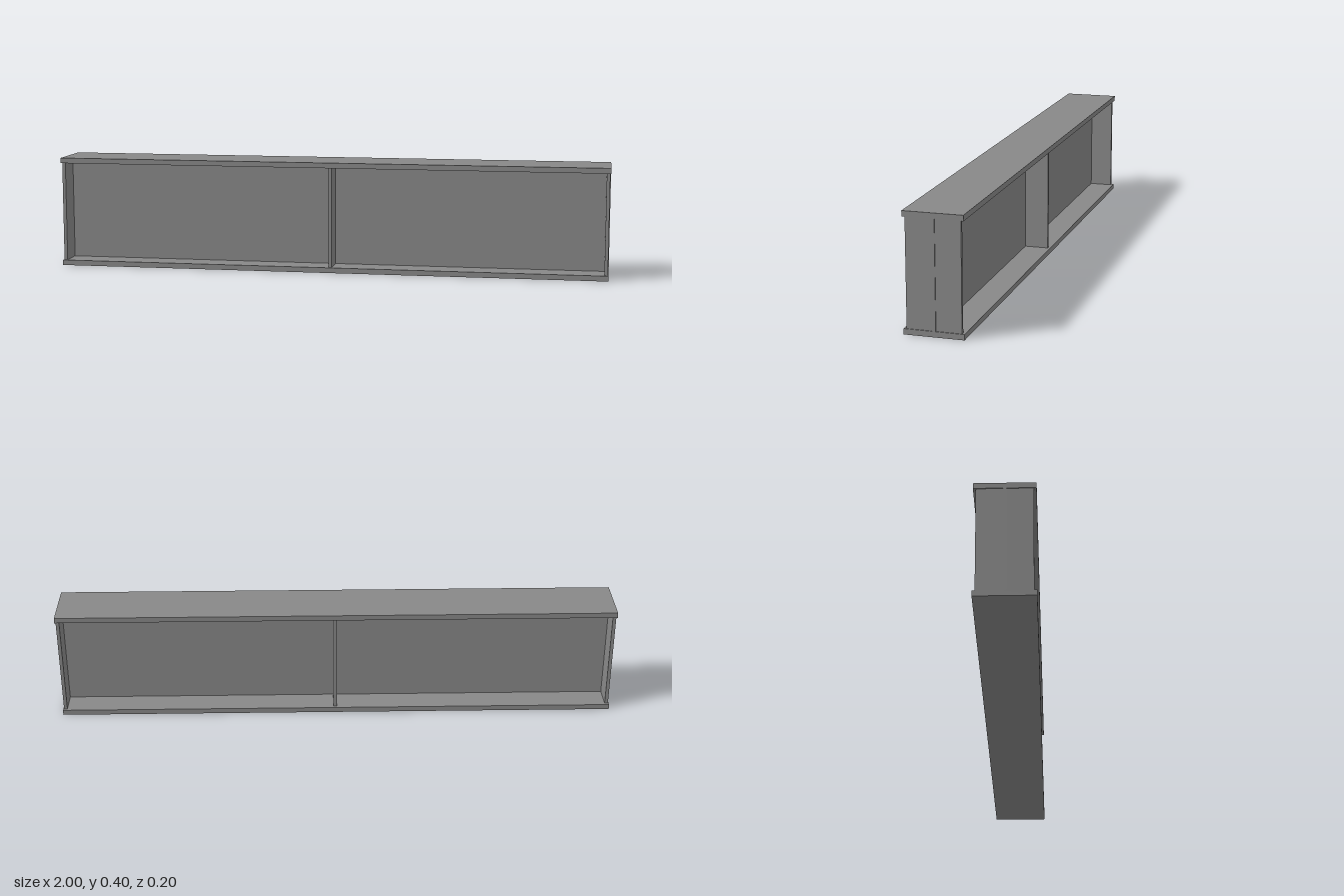
import * as THREE from 'three';

const LENGTH = 2, HEIGHT = 0.4;
const HALF_FLANGE = 0.1, FLANGE_T = 0.019; // flange half width and thickness
const HALF_WEB = 0.006;                    // web half thickness
const PLATE_REACH = 0.091, PLATE_T = 0.012; // stiffener outer edge and thickness

export function createModel() {
  const steel = new THREE.MeshStandardMaterial({ color: 0x888888 });
  steel.name = 'steel grey';
  const group = new THREE.Group();
  group.name = 'stiffenedGirder';

  // I-section, extruded along the length
  const top = HEIGHT - FLANGE_T;
  const section = new THREE.Shape([
    [-HALF_FLANGE, 0], [HALF_FLANGE, 0], [HALF_FLANGE, FLANGE_T],
    [HALF_WEB, FLANGE_T], [HALF_WEB, top], [HALF_FLANGE, top],
    [HALF_FLANGE, HEIGHT], [-HALF_FLANGE, HEIGHT], [-HALF_FLANGE, top],
    [-HALF_WEB, top], [-HALF_WEB, FLANGE_T], [-HALF_FLANGE, FLANGE_T],
  ].map(([x, y]) => new THREE.Vector2(x, y)));
  const beamGeometry = new THREE.ExtrudeGeometry(section, { depth: LENGTH, bevelEnabled: false });
  beamGeometry.translate(0, 0, -LENGTH / 2).rotateY(Math.PI / 2);
  const beam = new THREE.Mesh(beamGeometry, steel);
  beam.name = 'iBeam';
  group.add(beam);

  // Stiffener plates on both sides of the web: two ends and the middle
  const depth = PLATE_REACH - HALF_WEB;
  const plateGeometry = new THREE.BoxGeometry(PLATE_T, HEIGHT - 2 * FLANGE_T, depth);
  const stations = { rightEnd: -0.991, middle: 0.006, leftEnd: 0.991 };
  for (const [station, x] of Object.entries(stations)) {
    for (const side of [1, -1]) {
      const plate = new THREE.Mesh(plateGeometry, steel);
      plate.name = `${station}${side > 0 ? 'Front' : 'Back'}Stiffener`;
      plate.position.set(x, HEIGHT / 2, side * (HALF_WEB + depth / 2));
      group.add(plate);
    }
  }
  return group;
}
